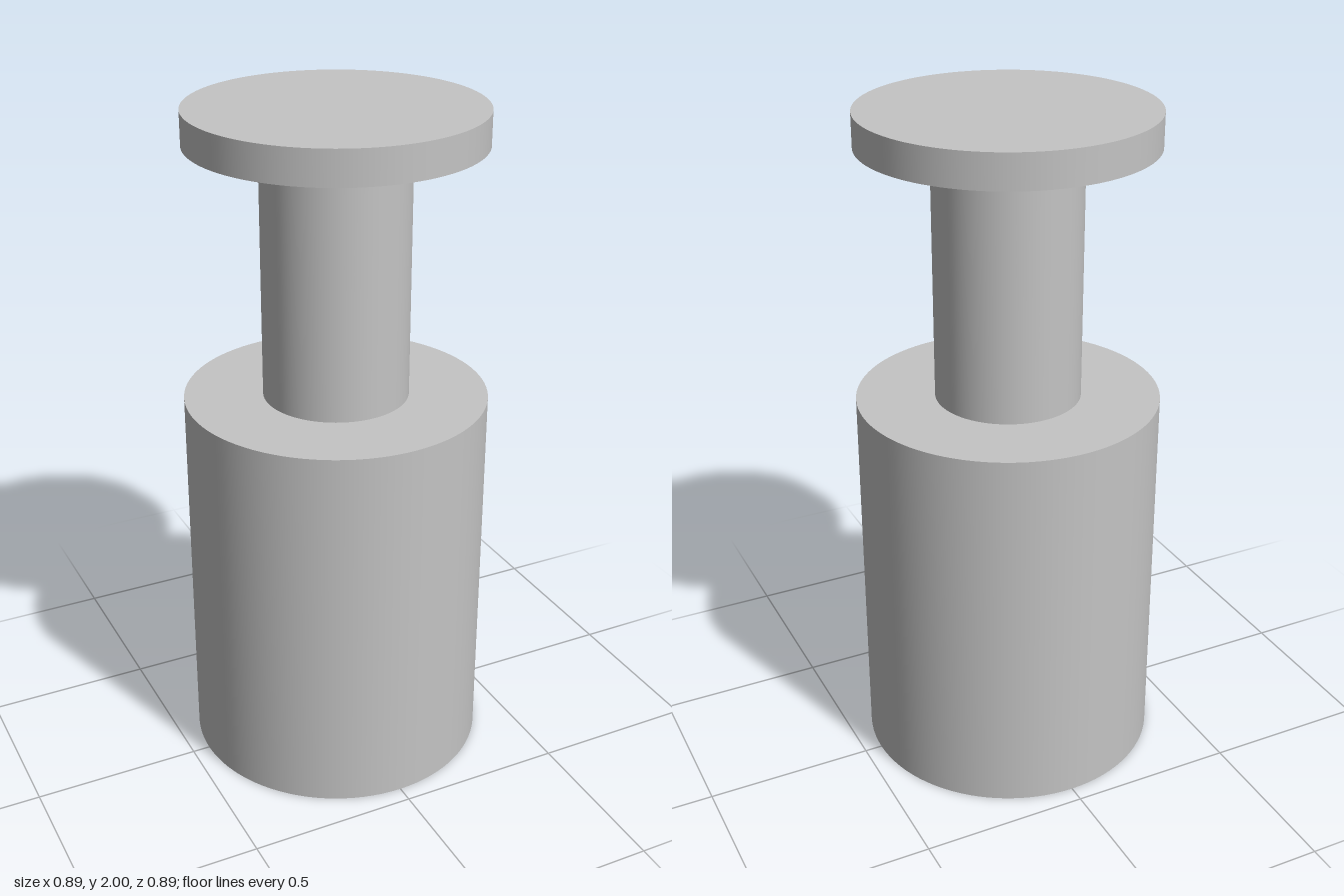
import * as THREE from 'three';

export function createModel() {
  const group = new THREE.Group();
  const grey = new THREE.MeshStandardMaterial({ color: 0xc4c4c4 });
  grey.name = 'plain grey';

  // Upright cylinder spanning two heights
  function addCylinder(name, radius, bottom, top, open = false) {
    const geometry = new THREE.CylinderGeometry(radius, radius, top - bottom, 96, 1, open);
    const mesh = new THREE.Mesh(geometry, grey);
    mesh.name = name;
    mesh.position.y = (bottom + top) / 2;
    group.add(mesh);
  }

  addCylinder('body', 0.447, 0, 1.15);
  addCylinder('stem', 0.215, 1.15, 1.9, true); // ends are covered by body and head
  addCylinder('headDisc', 0.425, 1.9, 2);

  return group;
}
